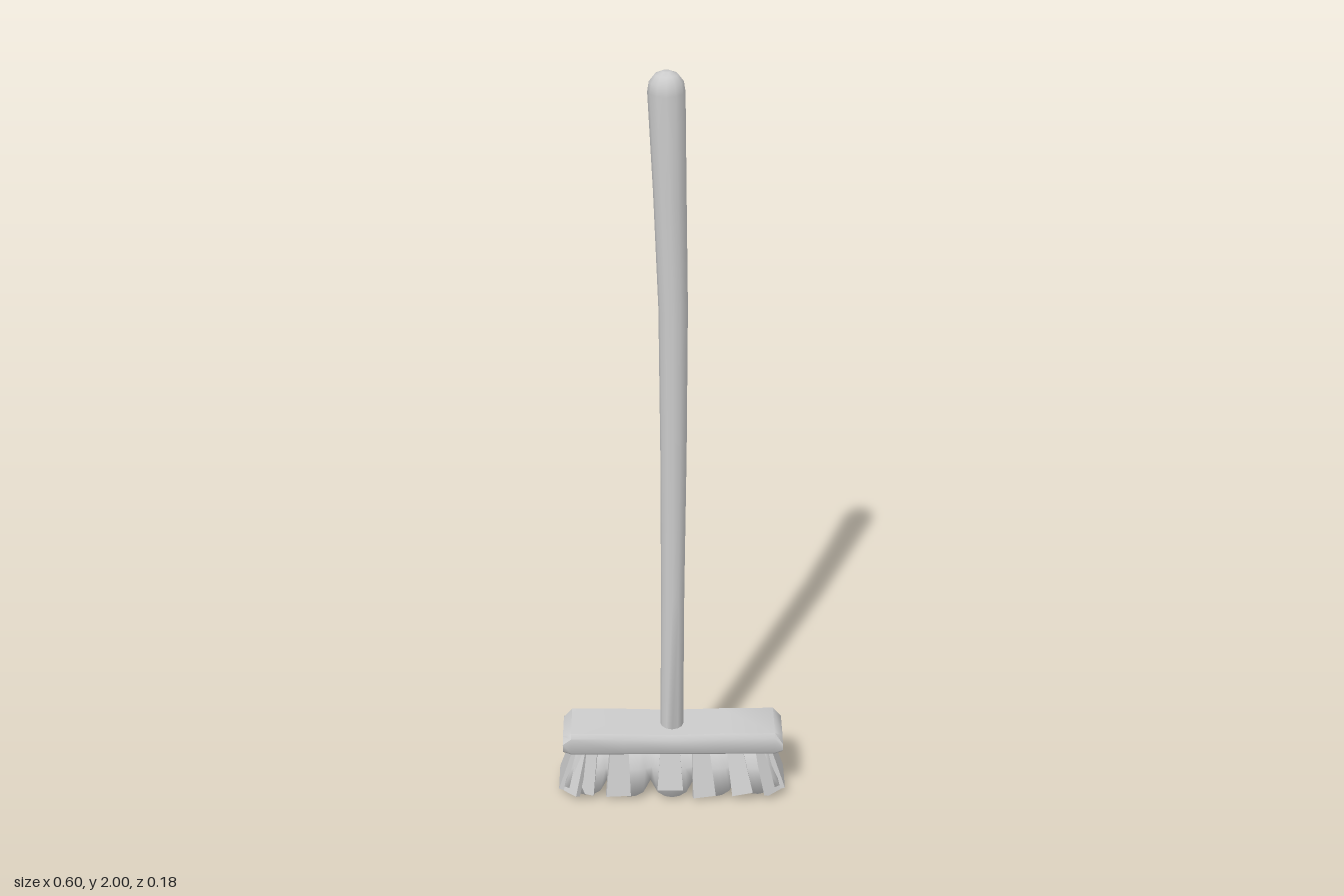
import * as THREE from 'three';
import { toCreasedNormals } from 'three/addons/utils/BufferGeometryUtils.js';

const smooth = new THREE.MeshStandardMaterial({ color: 0xcccccc });
const flat = new THREE.MeshStandardMaterial({ color: 0xcccccc, flatShading: true });

// Skin a list of closed rings (each an array of [x, y, z]) and cap both ends.
function loft(rings) {
  const n = rings[0].length, index = [], last = (rings.length - 1) * n;
  for (let i = 0; i < rings.length - 1; i++) {
    for (let j = 0; j < n; j++) {
      const a = i * n + j, b = i * n + (j + 1) % n;
      index.push(a, b, b + n, a, b + n, a + n);
    }
  }
  for (let j = 1; j < n - 1; j++) {
    index.push(0, j + 1, j, last, last + j, last + j + 1);
  }
  const geometry = new THREE.BufferGeometry();
  geometry.setAttribute('position', new THREE.Float32BufferAttribute(rings.flat(2), 3));
  geometry.setIndex(index);
  geometry.computeVertexNormals();
  return geometry;
}

function add(group, name, geometry, material) {
  const mesh = new THREE.Mesh(geometry, material);
  mesh.name = name;
  group.add(mesh);
  return mesh;
}

// Slightly bent handle, thicker toward its rounded tip: [x, y, z, radius]
function handleGeometry() {
  const sections = [
    [0, 0.17, 0.004, 0.03], [0.002, 0.6, 0.004, 0.03], [0.004, 1.0, 0.006, 0.033],
    [0.003, 1.4, 0.011, 0.036], [-0.005, 1.7, 0.011, 0.04], [-0.013, 1.95, 0.008, 0.045],
    [-0.013, 1.975, 0.008, 0.041], [-0.013, 1.992, 0.008, 0.028], [-0.013, 2, 0.008, 0.01],
  ];
  return loft(sections.map(([x, y, z, r]) => Array.from({ length: 12 }, (_, j) => {
    const a = j / 12 * Math.PI * 2;
    return [x + r * Math.sin(a), y, z + r * Math.cos(a)];
  })));
}

// Head block: bevelled bar with cut top corners and a slight dip in the middle
function blockGeometry() {
  const stations = [
    [-0.287, 0.048, 0.188, 0.148], [-0.265, 0.062, 0.205, 0.14], [-0.13, 0.062, 0.204, 0.14],
    [0, 0.062, 0.2, 0.14], [0.13, 0.062, 0.204, 0.14], [0.27, 0.062, 0.205, 0.14],
    [0.291, 0.048, 0.188, 0.148],
  ];
  const rings = stations.map(([x, w, top, low]) => [
    [x, top, -w], [x, top, w], [x, top - 0.012, 0.07], [x, low + 0.01, 0.07],
    [x, low, 0.06], [x, low, -0.06], [x, low + 0.01, -0.07], [x, top - 0.012, -0.07],
  ]);
  return toCreasedNormals(loft(rings), 0.9);
}

// Flared bristle mass, grooved into five soft tufts
function bristleGeometry() {
  const rings = [], count = 30;
  for (let i = 0; i <= count; i++) {
    const t = i / count * 2 - 1;
    const tuft = Math.sqrt(Math.abs(Math.sin(i / count * Math.PI * 5)));
    const puff = Math.abs(t) === 1 ? 0.6 : tuft;
    const low = 0.045 - 0.04 * puff + 0.014 * t * t;
    const w = 0.052 + 0.022 * puff;
    const mid = 0.045 + 0.012 * puff;
    rings.push([
      [t * 0.25, 0.15, -0.042], [t * 0.25, 0.15, 0.042], [t * 0.265, 0.09, mid],
      [t * 0.285, low + 0.008, w], [t * 0.28, low, 0],
      [t * 0.285, low + 0.008, -w], [t * 0.265, 0.09, -mid],
    ]);
  }
  return loft(rings);
}

// Flat clump hanging from its top edge, leaning outward in the direction of angle
function clump(x, y, z, angle, tilt, width, height, roll) {
  const geometry = new THREE.BoxGeometry(width, height, 0.016);
  geometry.translate(0, -height / 2, 0);
  const p = geometry.attributes.position;
  for (let i = 0; i < p.count; i++) {
    if (p.getY(i) > -0.01) p.setX(i, p.getX(i) * 0.75);
  }
  geometry.rotateZ(roll).rotateX(-tilt).rotateY(angle).translate(x, y, z);
  return geometry;
}

export function createModel() {
  const model = new THREE.Group();
  model.name = 'broom';
  add(model, 'handle', handleGeometry(), smooth);
  add(model, 'headBlock', blockGeometry(), smooth);

  const bristles = new THREE.Group();
  bristles.name = 'bristles';
  model.add(bristles);
  add(bristles, 'bristleCore', bristleGeometry(), smooth);

  const B = Math.PI;
  // [x, y, z, facing angle, outward tilt, width, height, sideways roll]
  const clumps = [
    [-0.005, 0.145, 0.045, 0, 0.25, 0.068, 0.112, 0],
    [0.165, 0.145, 0.045, 0, 0.28, 0.055, 0.125, 0.17],
    [-0.22, 0.145, 0.042, -0.15, 0.2, 0.065, 0.125, -0.12],
    [-0.14, 0.145, 0.044, 0.15, 0.2, 0.065, 0.13, -0.05],
    [0.075, 0.145, 0.042, 0.12, 0.22, 0.06, 0.135, 0.05],
    [0.008, 0.145, -0.045, B, 0.28, 0.075, 0.115, 0],
    [0.175, 0.145, -0.045, B, 0.28, 0.095, 0.12, -0.08],
    [-0.14, 0.145, -0.042, B + 0.35, 0.28, 0.075, 0.125, 0.1],
    [0.08, 0.145, -0.042, B - 0.15, 0.22, 0.07, 0.135, -0.08],
    [-0.045, 0.145, -0.042, B + 0.1, 0.2, 0.06, 0.135, 0.05],
  ];
  // End clumps, then one turned toward each corner
  for (const s of [-1, 1]) {
    clumps.push([s * 0.253, 0.145, 0, s * B / 2, 0.32, 0.11, 0.125, 0]);
    for (const f of [-1, 1]) {
      clumps.push([s * 0.235, 0.145, f * 0.035, Math.atan2(s, f * 1.1), 0.36, 0.045, 0.13, 0]);
    }
  }
  for (const c of clumps) add(bristles, 'bristleClump', clump(...c), flat);
  return model;
}
